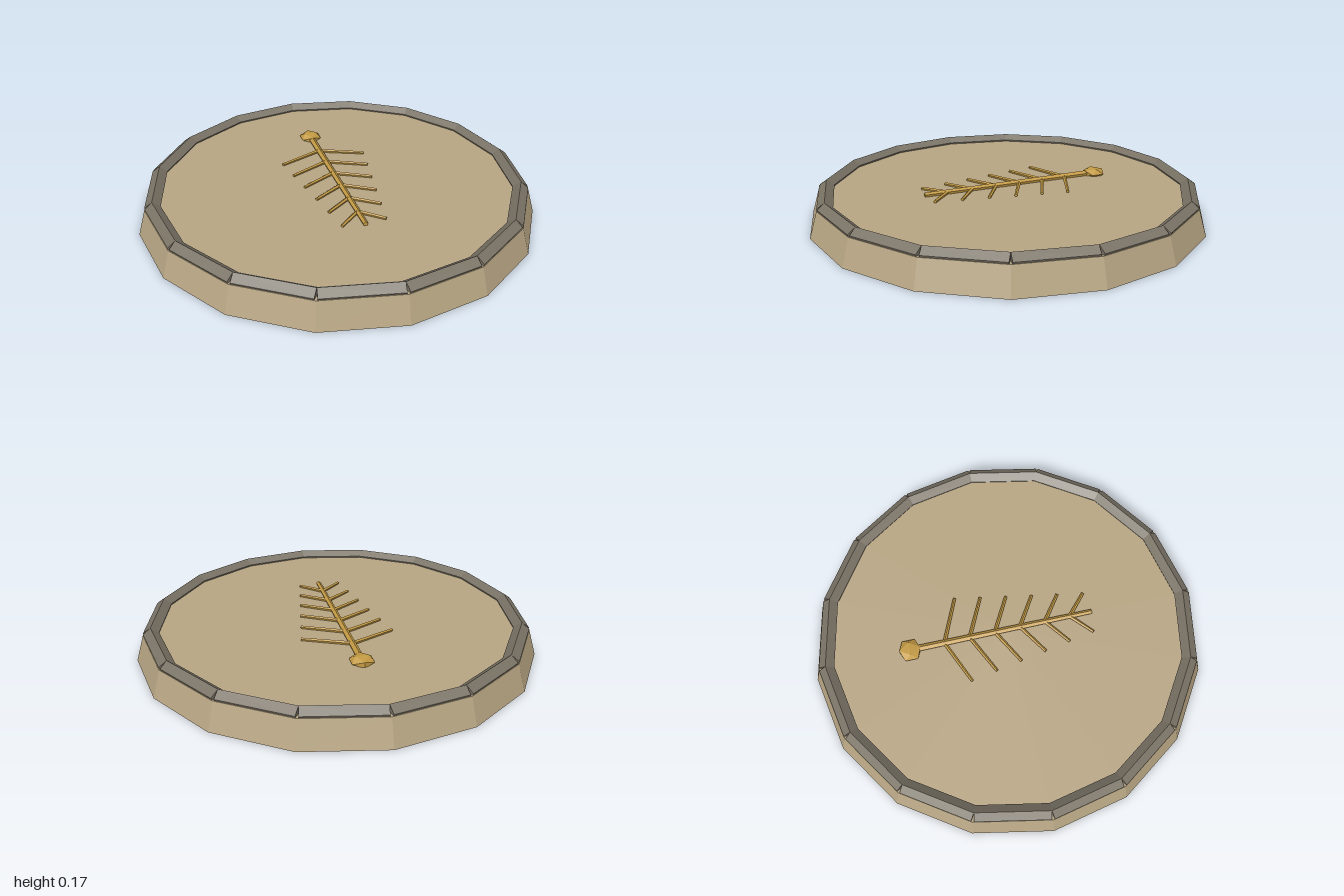
import * as THREE from 'three';

const flat = (name, color) => {
  const m = new THREE.MeshStandardMaterial({ color, flatShading: true });
  m.name = name;
  return m;
};

// Straight faceted bar from a to b, with one ridge facing up
function bar(name, a, b, rA, rB, sides, material) {
  const geo = new THREE.CylinderGeometry(rA, rB, a.distanceTo(b), sides);
  geo.rotateX(-Math.PI / 2);
  const mesh = new THREE.Mesh(geo, material);
  mesh.name = name;
  mesh.position.copy(a).add(b).multiplyScalar(0.5);
  mesh.lookAt(b);
  return mesh;
}

export function createModel() {
  const group = new THREE.Group();
  group.name = 'stoneDisc';
  const sand = flat('sandstone', 0xb8a684);
  const grey = flat('greyStone', 0x7a7366);
  const gold = flat('gold', 0xc39a43);
  const V = (x, y, z) => new THREE.Vector3(x, y, z);

  // Tapered sixteen-sided slab
  const N = 16, top = 0.13;
  const slab = new THREE.Mesh(new THREE.CylinderGeometry(0.96, 1, top, N), sand);
  slab.name = 'slab';
  slab.position.y = top / 2;
  group.add(slab);

  // Rim of separate straight bars, slightly open at the outer joints
  const rim = new THREE.Group();
  rim.name = 'rim';
  const corner = (i) => {
    const t = (i / N) * Math.PI * 2;
    return V(0.921 * Math.sin(t), 0.126, 0.921 * Math.cos(t));
  };
  for (let i = 0; i < N; i++) {
    rim.add(bar('rimBar', corner(i), corner(i + 1), 0.04, 0.04, 5, grey));
  }
  group.add(rim);

  // Feather-like emblem: spine, paired ribs and a flattened knob
  const emblem = new THREE.Group();
  emblem.name = 'emblem';
  const y = 0.138;
  emblem.add(bar('spine', V(0, y, -0.5), V(0, y, 0.44), 0.018, 0.013, 5, gold));
  for (let i = 0; i < 6; i++) {
    const z = -0.325 + i * 0.13;
    const reach = 0.225 - i * 0.0235;
    for (const s of [-1, 1]) {
      emblem.add(bar('rib', V(0, y, z), V(s * reach, y, z + 0.097), 0.01, 0.008, 5, gold));
    }
  }
  const knob = new THREE.Mesh(new THREE.IcosahedronGeometry(0.062, 0), gold);
  knob.name = 'knob';
  knob.scale.y = 0.45;
  knob.position.set(0, 0.14, -0.5);
  emblem.add(knob);
  group.add(emblem);

  return group;
}
